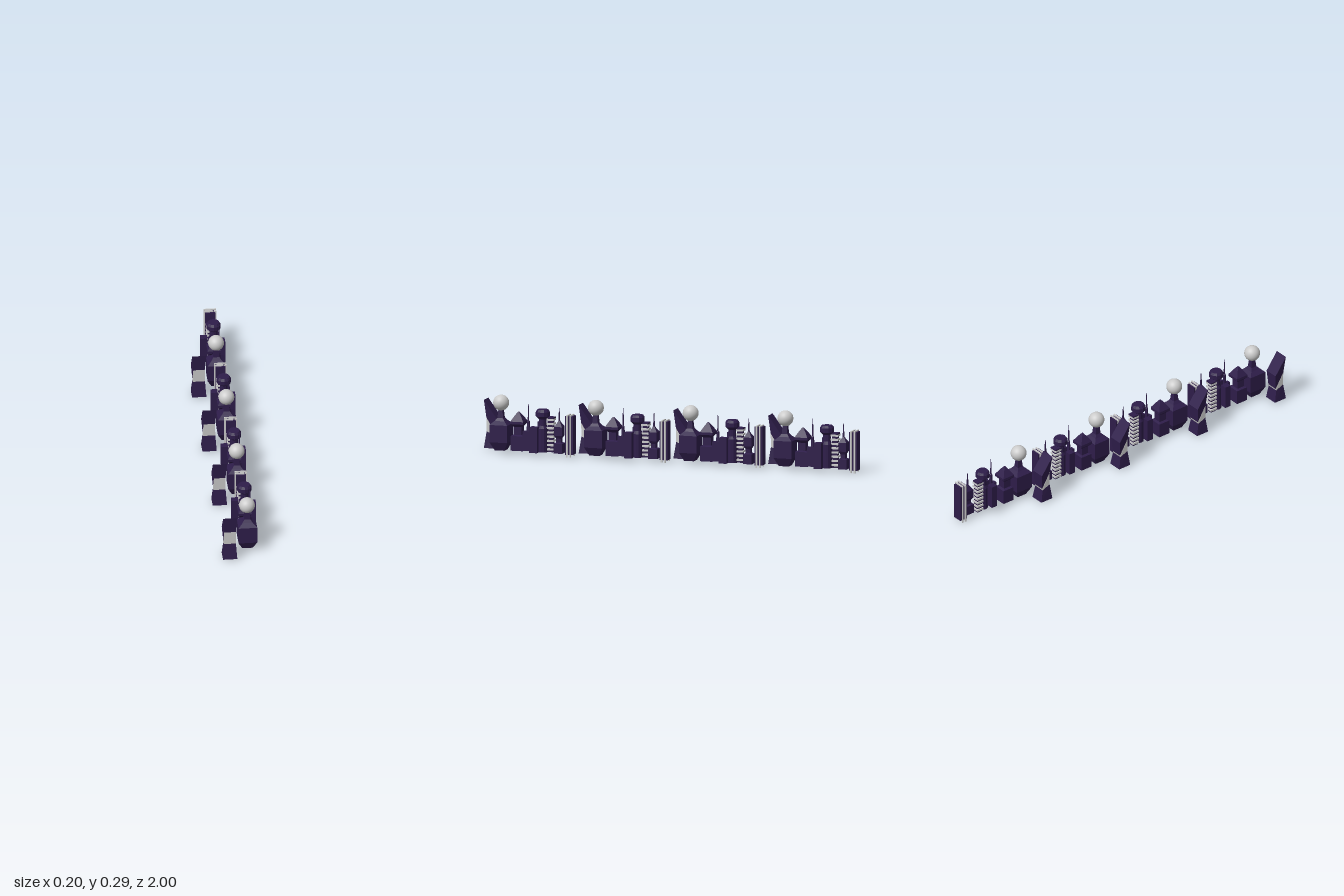
import * as THREE from 'three';

const purple = new THREE.MeshStandardMaterial({ color: 0x2e1d4a, flatShading: true, side: THREE.DoubleSide });
const grey = new THREE.MeshStandardMaterial({ color: 0xcccccc, flatShading: true, side: THREE.DoubleSide });
const smoothGrey = new THREE.MeshStandardMaterial({ color: 0xcccccc });

function add(parent, name, geometry, material, x = 0, y = 0, z = 0) {
  const mesh = new THREE.Mesh(geometry, material);
  mesh.name = name;
  mesh.position.set(x, y, z);
  parent.add(mesh);
  return mesh;
}

// Box from its lower and upper height
function block(parent, name, x, z, w, d, y0, y1, material = purple) {
  return add(parent, name, new THREE.BoxGeometry(w, y1 - y0, d), material, x, (y0 + y1) / 2, z);
}

// Stacked rectangles: each ring is [y, halfWidth, zFront, zBack, yBack = y]
function loft(rings) {
  const corners = rings.map(([y, h, f, b, yb = y]) => [[-h, y, f], [h, y, f], [h, yb, b], [-h, yb, b]]);
  const pos = [];
  const quad = (a, b, c, d) => pos.push(...a, ...b, ...c, ...a, ...c, ...d);
  for (let i = 0; i < corners.length - 1; i++) {
    const lo = corners[i], hi = corners[i + 1];
    for (let k = 0; k < 4; k++) quad(lo[k], lo[(k + 1) % 4], hi[(k + 1) % 4], hi[k]);
  }
  const [bottom, top] = [corners[0], corners[corners.length - 1]];
  quad(bottom[3], bottom[2], bottom[1], bottom[0]);
  quad(top[0], top[1], top[2], top[3]);
  const geometry = new THREE.BufferGeometry();
  geometry.setAttribute('position', new THREE.Float32BufferAttribute(pos, 3));
  geometry.computeVertexNormals();
  return geometry;
}

// Symmetric square loft from [y, half] pairs
const tower = (pairs) => loft(pairs.map(([y, h]) => [y, h, h, -h]));

function lathe(pairs, sides) {
  return new THREE.LatheGeometry(pairs.map(([r, y]) => new THREE.Vector2(r, y)), sides);
}

function createBlock() {
  const g = new THREE.Group();

  // Waisted tower with a slanted top
  const base = [0.01, 0.036, 0.5, 0.43];
  const waistLow = [0.095, 0.03, 0.487, 0.443, 0.075];
  const waistHigh = [0.165, 0.029, 0.489, 0.44, 0.085];
  const crown = [0.255, 0.036, 0.5, 0.434, 0.165];
  add(g, 'leaningTowerBase', loft([base, waistLow]), purple, -0.063);
  add(g, 'leaningTowerWaist', loft([waistLow, waistHigh]), grey, -0.063);
  add(g, 'leaningTowerCrown', loft([waistHigh, crown]), purple, -0.063);

  // Hull-shaped building carrying a sphere
  add(g, 'sphereBuilding', tower([[0.017, 0.026], [0.06, 0.047], [0.148, 0.047], [0.166, 0.026],
    [0.18, 0.015], [0.222, 0.011]]), purple, 0.033, 0, 0.389);
  add(g, 'sphere', new THREE.SphereGeometry(0.04, 32, 20), smoothGrey, 0.033, 0.257, 0.389);

  // Flared tower with a pyramid roof
  add(g, 'pyramidTower', tower([[0.02, 0.032], [0.095, 0.032], [0.1, 0.02], [0.14, 0.02],
    [0.155, 0.034], [0.168, 0.034], [0.2, 0.014], [0.215, 0.003]]), purple, 0.03, 0, 0.297);

  // Needle tower with a small arch beside it
  block(g, 'needleTower', 0.063, 0.24, 0.02, 0.045, 0.025, 0.125);
  add(g, 'needle', lathe([[0.011, 0.12], [0.008, 0.16], [0.008, 0.175], [0.004, 0.18],
    [0.003, 0.235], [0.0005, 0.27]], 6), purple, 0.063, 0, 0.235);
  const arch = new THREE.CatmullRomCurve3([[0.03, 0.2], [0.09, 0.206], [0.125, 0.218], [0.09, 0.23], [0.03, 0.236]]
    .map(([y, z]) => new THREE.Vector3(0.045, y, z)));
  add(g, 'arch', new THREE.TubeGeometry(arch, 12, 0.004, 4), grey);

  // Mushroom-capped round tower flanked by two box towers
  add(g, 'roundTower', lathe([[0, 0.02], [0.027, 0.02], [0.027, 0.14], [0.02, 0.155], [0.02, 0.188],
    [0.036, 0.202], [0.036, 0.224], [0.028, 0.236], [0, 0.236]], 12), purple, 0.043, 0, 0.166);
  block(g, 'sideTowerRight', -0.008, 0.188, 0.034, 0.034, 0.045, 0.165);
  block(g, 'sideTowerLeft', 0.077, 0.2, 0.04, 0.04, 0.02, 0.15);

  // Tower of stacked slabs
  block(g, 'slabTowerCore', 0.03, 0.126, 0.026, 0.028, 0.02, 0.185);
  for (let i = 0; i < 8; i++) {
    const y = 0.03 + i * 0.0215;
    block(g, 'slab', 0.03, 0.126, 0.04, 0.038, y, y + 0.01, grey);
  }
  block(g, 'slabTowerRoof', 0.03, 0.126, 0.038, 0.036, 0.19, 0.198);

  // Stepped tower with a spire
  add(g, 'spireTower', tower([[0.02, 0.023], [0.07, 0.023], [0.075, 0.013], [0.095, 0.013], [0.11, 0.021],
    [0.155, 0.021], [0.17, 0.011], [0.183, 0.004], [0.25, 0.001]]), purple, 0.052, 0, 0.076);

  // Layered panel tower: grey frames on short legs between purple panels
  for (const z of [0.013, 0.031]) {
    block(g, 'panelFrame', 0.04, z, 0.062, 0.007, 0.017, 0.216, grey);
    for (const side of [-1, 1]) block(g, 'panelLeg', 0.04 + side * 0.028, z, 0.006, 0.007, 0.003, 0.017, grey);
  }
  for (const z of [0.005, 0.022, 0.038]) block(g, 'panel', 0.04, z, 0.05, 0.009, 0.015, 0.21);

  return g;
}

export function createModel() {
  const model = new THREE.Group();
  model.name = 'skyline';
  // The same row of buildings repeats four times along z
  for (let i = 0; i < 4; i++) {
    const row = createBlock();
    row.name = 'cityBlock';
    row.position.z = 0.5 - i * 0.5;
    model.add(row);
  }
  return model;
}
